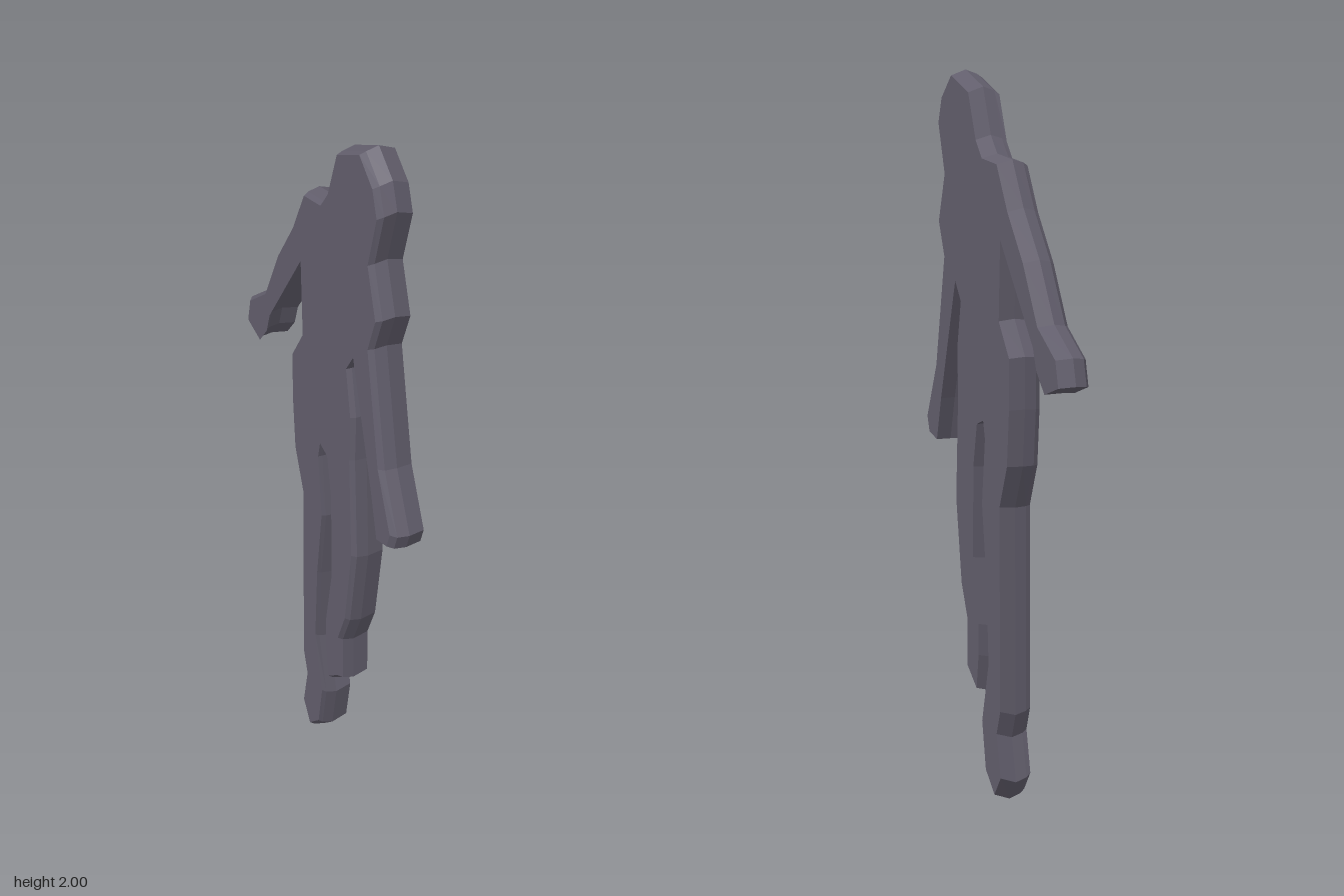
import * as THREE from 'three';

// Silhouette as (z, y) pairs, running from the crown down the back and up the front
const head = [0.27, 2, 0.14, 1.95, 0.085, 1.82, 0.04, 1.77];
const backArm = [
  -0.065, 1.755, -0.14, 1.63, -0.245, 1.5, -0.34, 1.34, -0.455, 1.265,
  -0.474, 1.195, -0.387, 1.17, -0.335, 1.225, -0.312, 1.285, -0.09, 1.555,
];
const backLeg = [
  -0.08, 1.335, -0.152, 1.24, -0.152, 1.1, -0.138, 0.945, -0.085, 0.825,
  -0.09, 0.25, -0.064, 0.18, -0.093, 0.06, -0.048, 0, 0.016, 0.055,
  0.043, 0.19, -0.005, 0.365, 0.01, 0.6, 0.042, 0.815, 0.02, 1, 0.033, 1.05,
];
const frontLeg = [
  0.08, 1.035, 0.107, 0.91, 0.11, 0.65, 0.07, 0.465, 0.07, 0.375,
  0.085, 0.275, 0.155, 0.325, 0.153, 0.46, 0.2, 0.56, 0.24, 0.8,
  0.223, 1.1, 0.228, 1.235, 0.2, 1.37,
];
const frontArm = [
  0.243, 1.425, 0.36, 1.075, 0.395, 0.95, 0.457, 0.965,
  0.474, 1.01, 0.397, 1.17, 0.328, 1.49,
];
const face = [0.371, 1.59, 0.323, 1.725, 0.371, 1.87, 0.345, 1.94];

// Cross-sections through the thickness: x, scale in z, scale in y about mid height
const sections = [
  [-0.045, 0.95, 0.978],
  [-0.032, 0.987, 0.989],
  [0, 1, 1],
  [0.045, 0.981, 0.983],
];

function figureGeometry() {
  const flat = [...head, ...backArm, ...backLeg, ...frontLeg, ...frontArm, ...face];
  const outline = [];
  for (let i = 0; i < flat.length; i += 2) outline.push(new THREE.Vector2(-flat[i], flat[i + 1]));
  outline.reverse(); // counter-clockwise seen from +x

  const rings = sections.map(([x, sz, sy]) =>
    outline.map((p) => [x, 1 + (p.y - 1) * sy, -p.x * sz]));
  const positions = [];
  const tri = (a, b, c) => positions.push(...a, ...b, ...c);

  // Rim bands between neighbouring sections
  for (let k = 0; k < rings.length - 1; k++) {
    const a = rings[k], b = rings[k + 1];
    for (let i = 0; i < a.length; i++) {
      const j = (i + 1) % a.length;
      tri(a[i], a[j], b[j]);
      tri(a[i], b[j], b[i]);
    }
  }

  // Flat sides
  const right = rings[0], left = rings[rings.length - 1];
  for (const [a, b, c] of THREE.ShapeUtils.triangulateShape(outline, [])) {
    tri(left[a], left[b], left[c]);
    tri(right[a], right[c], right[b]);
  }

  const geometry = new THREE.BufferGeometry();
  geometry.setAttribute('position', new THREE.Float32BufferAttribute(positions, 3));
  geometry.computeVertexNormals();
  return geometry;
}

export function createModel() {
  const group = new THREE.Group();
  group.name = 'standingFigure';

  const slate = new THREE.MeshStandardMaterial({ color: 0x625e6c });
  slate.name = 'slate';
  slate.flatShading = true;

  const figure = new THREE.Mesh(figureGeometry(), slate);
  figure.name = 'figureCutout';
  group.add(figure);
  return group;
}
